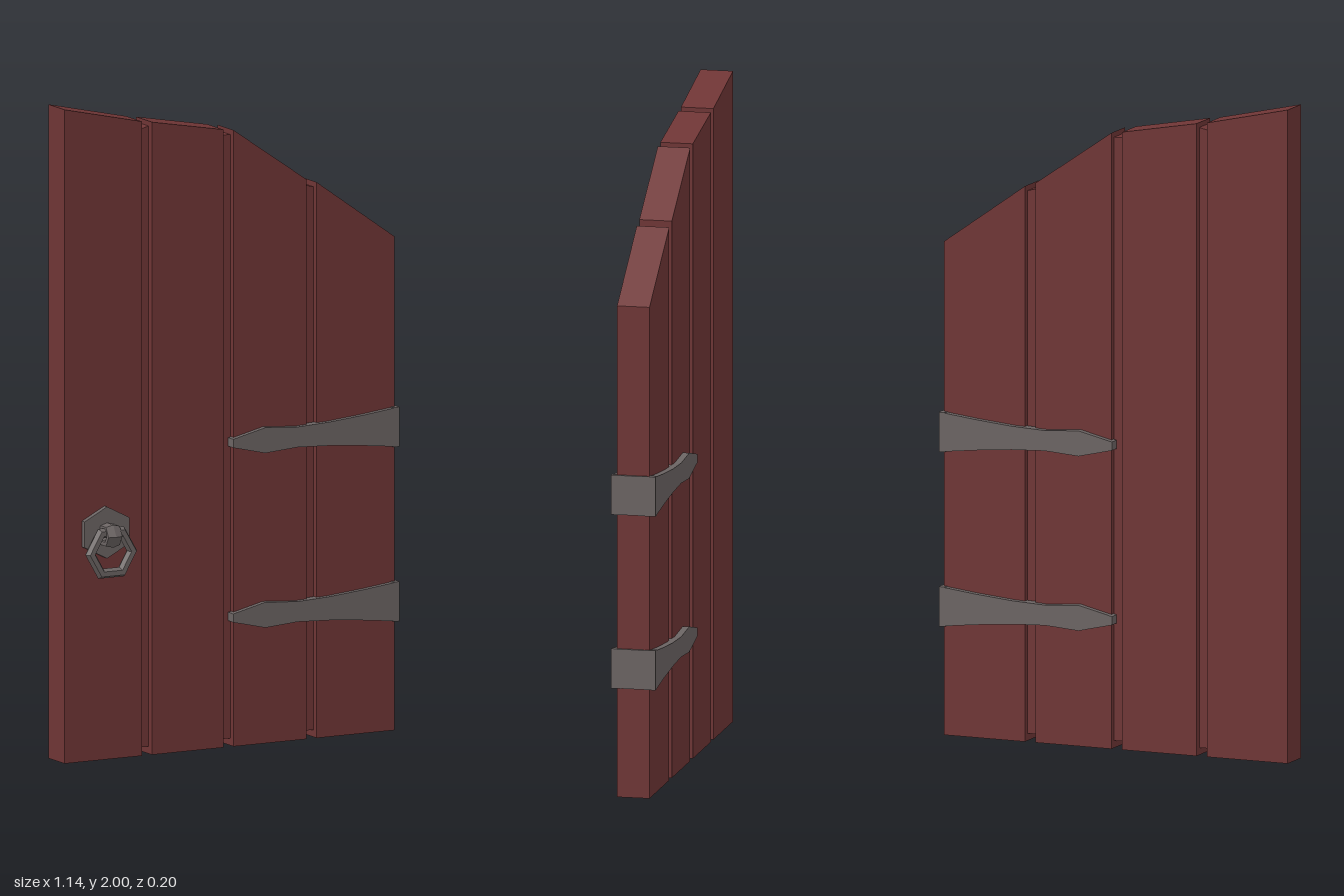
import * as THREE from 'three';

const wood = new THREE.MeshStandardMaterial({ color: 0x6f3535 });
wood.name = 'red wood';
const iron = new THREE.MeshStandardMaterial({ color: 0x6b6463 });
iron.name = 'grey iron';

function add(parent, name, geometry, material, x = 0, y = 0, z = 0) {
  // split shared corners so every face is flat
  const flat = geometry.index ? geometry.toNonIndexed() : geometry;
  flat.computeVertexNormals();
  const mesh = new THREE.Mesh(flat, material);
  mesh.name = name;
  mesh.position.set(x, y, z);
  parent.add(mesh);
  return mesh;
}

// outline in x/y, extruded from z0 to z1
function slab(points, z0, z1) {
  const shape = new THREE.Shape(points.map(([x, y]) => new THREE.Vector2(x, y)));
  return new THREE.ExtrudeGeometry(shape, { depth: z1 - z0, bevelEnabled: false }).translate(0, 0, z0);
}

const board = (x0, x1, bottom, top0, top1, z0, z1) =>
  slab([[x0, bottom], [x1, bottom], [x1, top1], [x0, top0]], z0, z1);

// strap half-height along x, tapering to a blunt arrow tip
const strapProfile = [[0, 0.013], [0.11, 0.039], [0.22, 0.031], [0.33, 0.036], [0.45, 0.047], [0.57, 0.061]];

function createStrap(y) {
  const strap = new THREE.Group();
  strap.name = 'hingeStrap';
  const outline = [
    ...strapProfile.map(([x, h]) => [x, -h]),
    ...strapProfile.map(([x, h]) => [x, h]).reverse(),
  ];
  add(strap, 'frontStrap', slab(outline, 0.005, 0.037), iron);
  add(strap, 'backStrap', slab(outline, -0.1, -0.065), iron);
  add(strap, 'strapEnd', new THREE.BoxGeometry(0.02, 0.121, 0.137), iron, 0.56, 0, -0.0315);
  strap.position.y = y;
  return strap;
}

function createHandle() {
  const handle = new THREE.Group();
  handle.name = 'ringHandle';
  // six-sided back plate with a corner at the top
  const plate = [];
  for (let i = 0; i < 6; i++) {
    const a = Math.PI / 2 + i * Math.PI / 3;
    plate.push([Math.cos(a) * 0.089, Math.sin(a) * 0.079]);
  }
  add(handle, 'handlePlate', slab(plate, 0.015, 0.037), iron, 0, 0.697);
  // hanging ring
  add(handle, 'pullRing', new THREE.TorusGeometry(0.071, 0.017, 6, 6), iron, 0, 0.64, 0.062);
  // staple holding the ring
  const staple = new THREE.TorusGeometry(0.027, 0.013, 6, 6).scale(1, 1, 2.1).rotateY(Math.PI / 2);
  add(handle, 'ringStaple', staple, iron, 0, 0.692, 0.056);
  handle.position.x = -0.433;
  return handle;
}

export function createModel() {
  const door = new THREE.Group();
  door.name = 'door';

  // planks: left x, right x, top height at each side
  const planks = [
    [-0.57, -0.304, 2.0, 1.94],
    [-0.27, -0.025, 1.935, 1.89],
    [0.01, 0.26, 1.885, 1.712],
    [0.295, 0.562, 1.7, 1.51],
  ];
  planks.forEach(([x0, x1, t0, t1]) =>
    add(door, 'plank', board(x0, x1, 0, t0, t1, -0.08, 0.02), wood));

  // thinner strips recessed between the planks
  const tops = [[1.91, 1.922], [1.87, 1.868], [1.695, 1.68]];
  tops.forEach(([t0, t1], i) =>
    add(door, 'grooveStrip', board(planks[i][1] - 0.01, planks[i + 1][0] + 0.01, 0.022, t0, t1, -0.06, 0), wood));

  [0.93, 0.396].forEach((y) => door.add(createStrap(y)));
  door.add(createHandle());
  return door;
}
